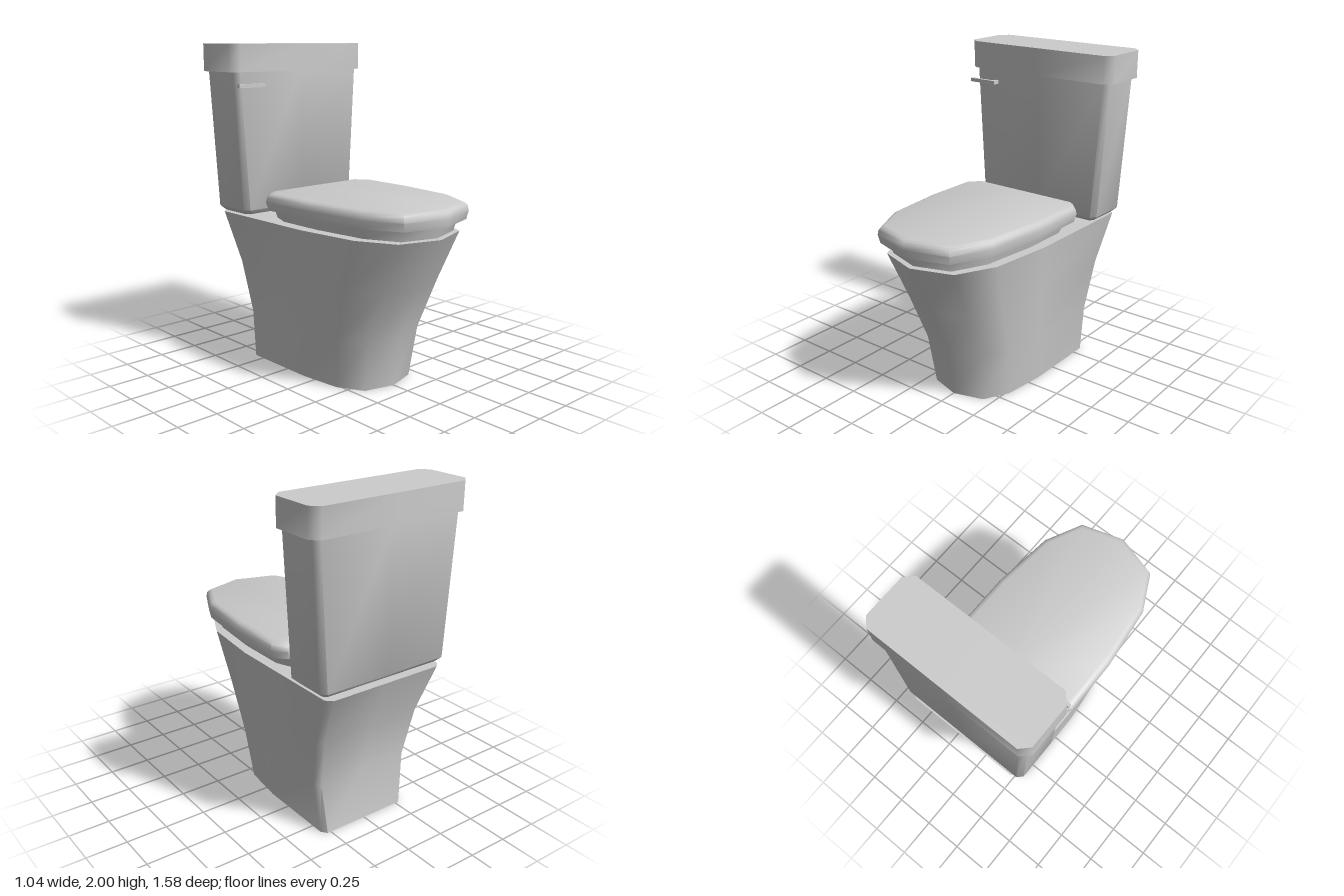
import * as THREE from 'three';
import { toCreasedNormals } from 'three/addons/utils/BufferGeometryUtils.js';

const material = new THREE.MeshStandardMaterial({ color: 0xcccccc });

// Mirrors a half outline (back centre, round the left side, to front centre) in x.
function ring(half) {
  const mirrored = half.filter(([x]) => x > 0).reverse().map(([x, z]) => [-x, z]);
  return [...half, ...mirrored];
}

// Skins capped walls through [y, outline] sections, listed bottom to top.
function loft(name, sections, crease = 0.9) {
  const rings = sections.map(([y, half]) => ring(half).map(([x, z]) => [x, y, z]));
  const n = rings[0].length, pos = [];
  const tri = (...corners) => corners.forEach((p) => pos.push(...p));
  for (let i = 0; i < rings.length - 1; i++) {
    for (let j = 0; j < n; j++) {
      const k = (j + 1) % n, lo = rings[i], hi = rings[i + 1];
      tri(lo[j], hi[j], lo[k]);
      tri(lo[k], hi[j], hi[k]);
    }
  }
  const bottom = rings[0], top = rings[rings.length - 1];
  for (let j = 1; j < n - 1; j++) {
    tri(bottom[0], bottom[j], bottom[j + 1]);
    tri(top[0], top[j + 1], top[j]);
  }
  const geometry = new THREE.BufferGeometry();
  geometry.setAttribute('position', new THREE.Float32BufferAttribute(pos, 3));
  const mesh = new THREE.Mesh(toCreasedNormals(geometry, crease), material);
  mesh.name = name;
  return mesh;
}

// Half outline of a rectangle with chamfered corners.
const chamfered = (w, back, front, c) => [
  [0, back], [w - c, back], [w, back + c], [w, front - c], [w - c, front], [0, front],
];

// Half outline of the bowl: chamfered back corners and a faceted nose.
function bowl(w, back, front) {
  const d = front - back;
  return [
    [0, back], [w * 0.91, back], [w, back + 0.035], [w, back + d * 0.53],
    [w * 0.9, back + d * 0.79], [w * 0.62, back + d * 0.945], [0, front],
  ];
}

// Half outline of the seat and lid, pulled in by an inset.
function seatOutline(inset) {
  const sx = (0.425 - inset) / 0.425, mid = 0.22, sz = (0.565 - inset) / 0.565;
  return [
    [0, -0.345], [0.36, -0.345], [0.425, -0.275], [0.425, 0.08],
    [0.38, 0.475], [0.265, 0.705], [0, 0.785],
  ].map(([x, z]) => [x * sx, mid + (z - mid) * sz]);
}

function box(name, w, h, d, x, y, z) {
  const mesh = new THREE.Mesh(new THREE.BoxGeometry(w, h, d), material);
  mesh.name = name;
  mesh.position.set(x, y, z);
  return mesh;
}

export function createModel() {
  const group = new THREE.Group();
  group.name = 'toilet';

  // Pedestal flaring up into the bowl
  group.add(loft('pedestal', [
    [0, bowl(0.3, -0.61, 0.385)],
    [0.32, bowl(0.335, -0.585, 0.435)],
    [0.64, bowl(0.365, -0.65, 0.58)],
    [0.95, bowl(0.405, -0.77, 0.735)],
  ]));

  // Seat ring, set back under the lid, with its straight hinge edge
  const seat = (inset, back) => seatOutline(inset).map(([x, z], i) => [x, i < 2 ? back : z]);
  group.add(loft('seat', [
    [0.955, seat(0.08, -0.335)],
    [1.025, seat(0.06, -0.35)],
  ]));

  // Closed lid with softened edges
  group.add(loft('seatLid', [
    [1.025, seatOutline(0.012)],
    [1.075, seatOutline(0)],
    [1.105, seatOutline(0.006)],
    [1.12, seatOutline(0.02)],
    [1.127, seatOutline(0.04)],
  ]));

  // Tapered tank with a bevelled underside
  group.add(loft('tank', [
    [0.965, chamfered(0.405, -0.735, -0.485, 0.02)],
    [0.995, chamfered(0.437, -0.765, -0.455, 0.03)],
    [1.835, chamfered(0.49, -0.765, -0.455, 0.03)],
  ]));

  // Overhanging tank lid
  const lidOutline = chamfered(0.522, -0.79, -0.43, 0.05);
  group.add(loft('tankLid', [[1.835, lidOutline], [2, lidOutline]]));

  // Flush lever and its stem
  group.add(box('flushLever', 0.19, 0.022, 0.02, -0.403, 1.755, -0.42));
  group.add(box('leverStem', 0.024, 0.022, 0.04, -0.32, 1.755, -0.445));

  return group;
}
